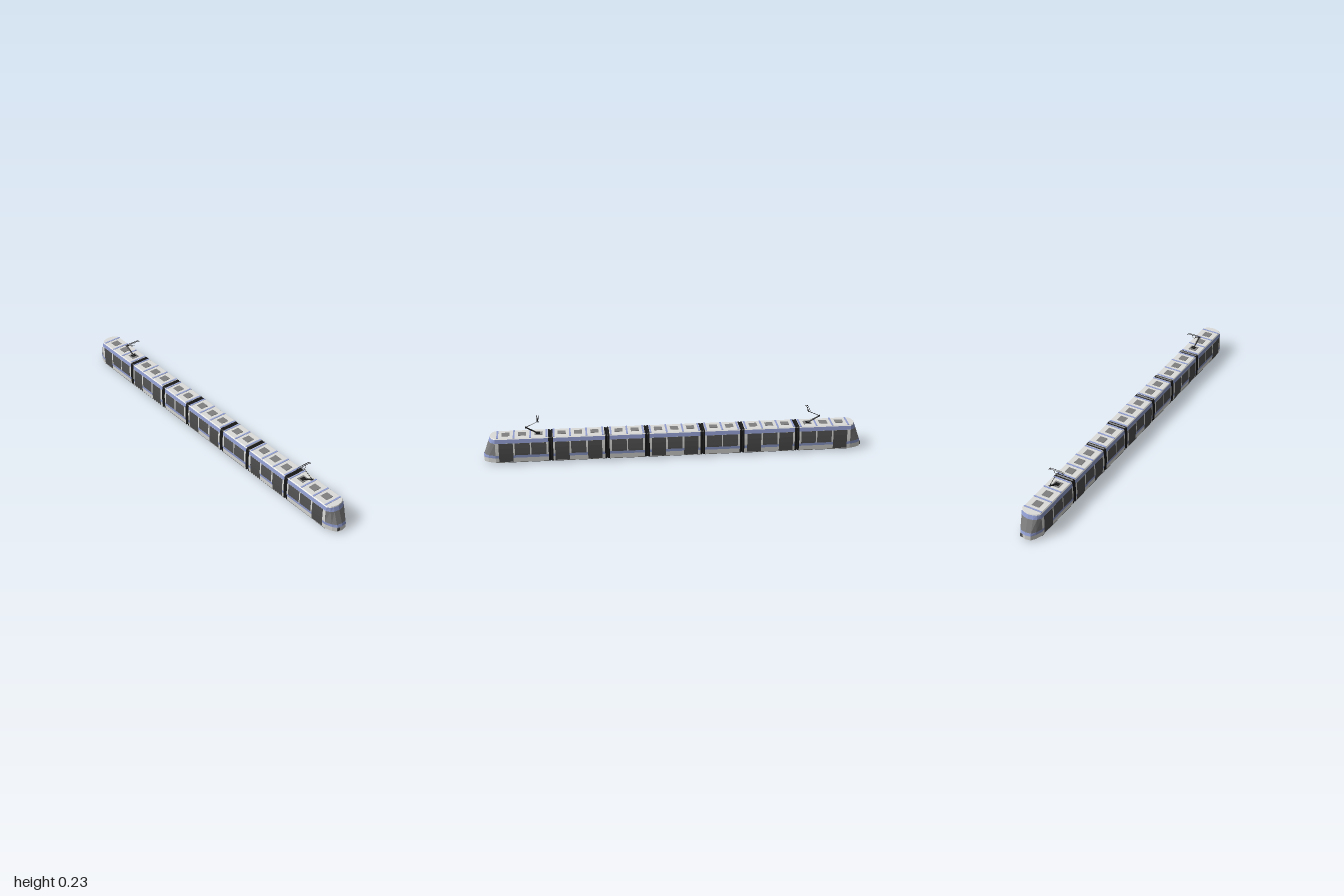
import * as THREE from 'three';

const mat = (name, color) => {
  const m = new THREE.MeshStandardMaterial({ color });
  m.name = name;
  return m;
};

export function createModel() {
  const white = mat('white paint', 0xdcdcda);
  const blue = mat('blue paint', 0x929fd2);
  const screen = mat('grey glass', 0x808080);
  const glass = mat('side glass', 0x555555);
  const doorGrey = mat('door grey', 0x4e4e4e);
  const under = mat('underframe', 0x565656);
  const black = mat('black rubber', 0x1a1a1a);

  // Half width of the barrel-shaped body at given heights
  const profile = [[0.01, 0.0545], [0.035, 0.0565], [0.06, 0.058], [0.09, 0.058],
    [0.117, 0.0565], [0.138, 0.0535], [0.143, 0.049]];
  const halfWidth = (y) => {
    let i = 0;
    while (i < profile.length - 2 && y > profile[i + 1][0]) i++;
    const [y0, w0] = profile[i], [y1, w1] = profile[i + 1];
    return w0 + (w1 - w0) * (y - y0) / (y1 - y0);
  };
  const levels = (y0, y1) =>
    [y0, ...profile.map((p) => p[0]).filter((y) => y > y0 && y < y1), y1];

  // Faceted surface through rows of points (rows go up, columns go right, seen from outside)
  function skin(parent, name, material, rows) {
    const pos = [];
    for (let i = 0; i < rows.length - 1; i++) {
      for (let j = 0; j < rows[i].length - 1; j++) {
        const a = rows[i][j], b = rows[i][j + 1], c = rows[i + 1][j + 1], d = rows[i + 1][j];
        pos.push(...a, ...b, ...c, ...a, ...c, ...d);
      }
    }
    const g = new THREE.BufferGeometry();
    g.setAttribute('position', new THREE.Float32BufferAttribute(pos, 3));
    g.computeVertexNormals();
    const m = new THREE.Mesh(g, material);
    m.name = name;
    parent.add(m);
  }

  function box(parent, name, material, w, h, d, x, y, z) {
    const m = new THREE.Mesh(new THREE.BoxGeometry(w, h, d), material);
    m.name = name;
    m.position.set(x, y, z);
    parent.add(m);
  }

  function bar(parent, name, a, b, r, material = black) {
    const p = new THREE.Vector3(...a), q = new THREE.Vector3(...b);
    const m = new THREE.Mesh(new THREE.CylinderGeometry(r, r, p.distanceTo(q), 8), material);
    m.name = name;
    m.position.copy(p).add(q).multiplyScalar(0.5);
    m.quaternion.setFromUnitVectors(new THREE.Vector3(0, 1, 0), q.sub(p).normalize());
    parent.add(m);
  }

  // Curved side panel on both sides of the body
  function sidePanels(parent, name, material, y0, y1, z0, z1, lift = 0) {
    for (const s of [1, -1]) {
      const ends = s > 0 ? [z1, z0] : [z0, z1];
      skin(parent, name, material, levels(y0, y1).map((y) =>
        ends.map((z) => [s * (halfWidth(y) + lift), y, z])));
    }
  }

  const bands = [['skirt', white, 0.01, 0.035], ['lowerStripe', blue, 0.035, 0.05],
    ['windowBand', white, 0.05, 0.117], ['upperStripe', blue, 0.117, 0.138],
    ['roofEdge', white, 0.138, 0.143]];
  const PITCH = 0.085;

  // One carriage; bays are listed from low z to high z, D = door, W = window
  function carriage(parent, name, z0, z1, mid, bays) {
    const car = new THREE.Group();
    car.name = name;
    parent.add(car);
    for (const [n, m, y0, y1] of bands) sidePanels(car, n, m, y0, y1, z0, z1);
    skin(car, 'roof', white, [z1, z0].map((z) => [[-0.049, 0.143, z], [0.049, 0.143, z]]));
    box(car, 'floor', under, 0.109, 0.003, z1 - z0, 0, 0.0095, (z0 + z1) / 2);
    const start = mid - bays.length * PITCH / 2;
    [...bays].forEach((bay, i) => {
      const z = start + (i + 0.5) * PITCH;
      if (bay === 'D') sidePanels(car, 'door', doorGrey, 0.013, 0.117, z - 0.037, z + 0.037, 0.001);
      else sidePanels(car, 'window', glass, 0.05, 0.117, z - 0.039, z + 0.039, 0.0008);
      box(car, 'roofHatch', screen, 0.042, 0.004, 0.042, 0, 0.143, z);
    });
    for (let i = 0; i <= bays.length; i++) {
      const z = Math.min(Math.max(start + i * PITCH, z0 + 0.005), z1 - 0.005);
      box(car, 'roofRib', blue, 0.1, 0.004, 0.009, 0, 0.1425, z);
    }
    return car;
  }

  // Ribbed bellows between carriages
  function bellows(parent, z0, z1) {
    const scales = [1, 1.015, 0.95, 1.015, 1];
    const right = profile.map(([y, w]) => [w, y]);
    const ring = [...right, ...right.map(([x, y]) => [-x, y]).reverse(), right[0]];
    skin(parent, 'bellows', black, scales.map((s, i) =>
      ring.map(([x, y]) => [x * s, 0.0765 + (y - 0.0765) * s, z0 + (z1 - z0) * i / 4])));
  }

  function bogie(parent, zs) {
    for (const z of zs) {
      for (const x of [-0.038, 0.038]) bar(parent, 'wheel', [x - 0.002, 0.011, z], [x + 0.002, 0.011, z], 0.011);
      bar(parent, 'axle', [-0.038, 0.008, z], [0.038, 0.008, z], 0.003);
    }
  }

  // Raked, tapering cab front
  const NOSE = 0.935;
  function noseOutline(y) {
    const w = halfWidth(y);
    const lean = y < 0.03 ? (0.03 - y) * 0.15 : (y - 0.03) * 0.35;
    const half = [[w, NOSE], [0.77 * w, 0.973 - lean * 0.6], [0.48 * w, 0.995 - lean], [0, 1 - lean]];
    return [...half.map(([x, z]) => [-x, y, z]), ...half.slice(0, 3).reverse().map(([x, z]) => [x, y, z])];
  }
  function cab(parent) {
    for (const [n, m, y0, y1] of bands) {
      skin(parent, n === 'windowBand' ? 'windscreen' : 'cab' + n, n === 'windowBand' ? screen : m,
        [noseOutline(y0), noseOutline(y1)]);
    }
    const flat = (o) => o.map(([x, y]) => [x, y, NOSE]);
    const top = noseOutline(0.143), bottom = noseOutline(0.01);
    skin(parent, 'cabRoof', white, [top, flat(top)]);
    skin(parent, 'cabUnderside', white, [flat(bottom), bottom]);
    box(parent, 'couplerHatch', under, 0.014, 0.018, 0.005, -0.023, 0.026, 0.995);
  }

  // Single-arm current collector
  function pantograph(parent) {
    const p = new THREE.Group();
    p.name = 'pantograph';
    parent.add(p);
    box(p, 'collectorBase', black, 0.024, 0.004, 0.02, 0, 0.146, 0.712);
    bar(p, 'lowerArm', [0, 0.145, 0.712], [0, 0.18, 0.775], 0.004);
    bar(p, 'elbow', [-0.006, 0.18, 0.775], [0.006, 0.18, 0.775], 0.003);
    bar(p, 'upperArm', [0, 0.18, 0.775], [0, 0.21, 0.712], 0.0015);
    bar(p, 'headCrossbar', [-0.009, 0.21, 0.712], [0.009, 0.21, 0.712], 0.001);
    for (const s of [1, -1]) bar(p, 'headPost', [s * 0.009, 0.21, 0.712], [s * 0.012, 0.228, 0.712], 0.001);
    const path = new THREE.CatmullRomCurve3([[-0.042, 0.222], [-0.037, 0.228], [-0.03, 0.229],
      [0.03, 0.229], [0.037, 0.228], [0.042, 0.222]].map(([x, y]) => new THREE.Vector3(x, y, 0)));
    for (const z of [0.708, 0.716]) {
      const m = new THREE.Mesh(new THREE.TubeGeometry(path, 24, 0.0013, 6), black);
      m.name = 'contactStrip';
      m.position.z = z;
      p.add(m);
    }
  }

  // Front half of the train, repeated turned round for the rear
  const half = new THREE.Group();
  half.name = 'frontHalf';
  bellows(half, 0.1335, 0.158);
  bogie(carriageWith('shortCarriage', 0.158, 0.343, 0.25, 'WW'), [0.22, 0.28]);
  bellows(half, 0.343, 0.367);
  carriageWith('doorCarriage', 0.367, 0.636, 0.504, 'DWD');
  bellows(half, 0.636, 0.66);
  const endCar = carriageWith('endCarriage', 0.66, NOSE, 0.795, 'WWD');
  bogie(endCar, [0.735, 0.8]);
  cab(endCar);
  pantograph(endCar);
  function carriageWith(...args) {
    return carriage(half, ...args);
  }

  const model = new THREE.Group();
  model.name = 'tram';
  const rear = half.clone();
  rear.name = 'rearHalf';
  rear.rotation.y = Math.PI;
  model.add(half, rear);
  carriage(model, 'middleCarriage', -0.1335, 0.1335, 0, 'DWD');
  return model;
}
